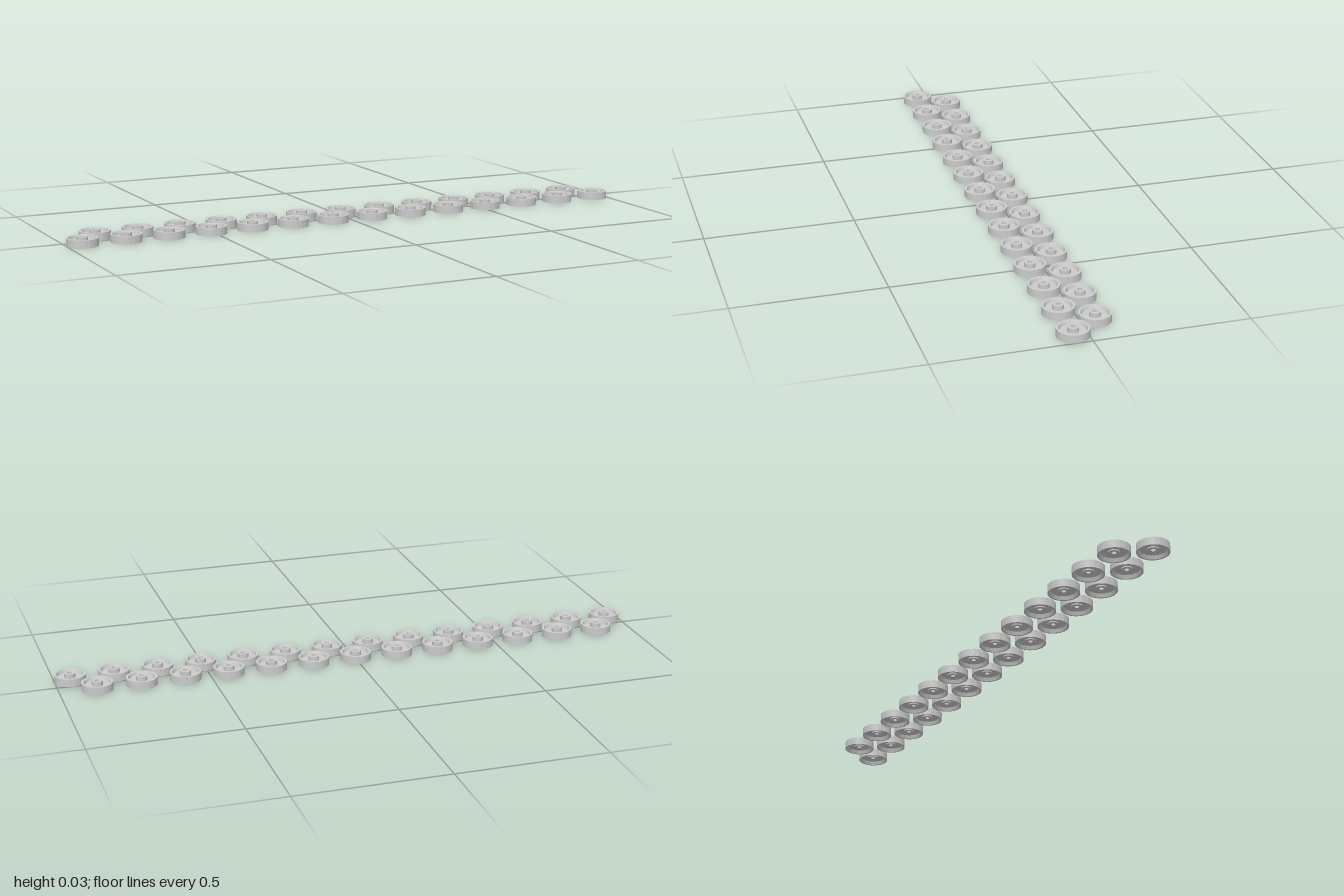
import * as THREE from 'three';
import { toCreasedNormals } from 'three/addons/utils/BufferGeometryUtils.js';

const RADIUS = 0.0515;
const SPACING = 0.146;
const ROW_Z = 0.0465;

// Closed ring profile, [radius, height], turned about the vertical axis
function lathe(points) {
  const profile = [...points, points[0]].map(([r, y]) => new THREE.Vector2(r, y));
  return toCreasedNormals(new THREE.LatheGeometry(profile, 48), 0.5);
}

export function createModel() {
  const model = new THREE.Group();
  model.name = 'wheelSet';
  const material = new THREE.MeshStandardMaterial({ color: 0xcccccc });

  // Rim and the thin recessed disc that carries the hub
  const wheelGeometry = lathe([
    [RADIUS, 0], [RADIUS, 0.026], [0.044, 0.026], [0.040, 0.015],
    [0.016, 0.015], [0.016, 0.012], [0.042, 0.012], [0.046, 0],
  ]);
  // Raised hub with an axle hole
  const hubGeometry = lathe([
    [0.018, 0.008], [0.018, 0.030], [0.008, 0.030], [0.008, 0.008],
  ]);

  function addRow(name, count, z) {
    const row = new THREE.Group();
    row.name = name;
    for (let i = 0; i < count; i++) {
      const wheel = new THREE.Group();
      wheel.name = 'wheel';
      wheel.position.set((i - (count - 1) / 2) * SPACING, 0, z);
      const rim = new THREE.Mesh(wheelGeometry, material);
      rim.name = 'rimAndDisc';
      const hub = new THREE.Mesh(hubGeometry, material);
      hub.name = 'hub';
      wheel.add(rim, hub);
      row.add(wheel);
    }
    model.add(row);
  }

  // Two staggered rows
  addRow('frontRow', 14, ROW_Z);
  addRow('backRow', 13, -ROW_Z);
  return model;
}
